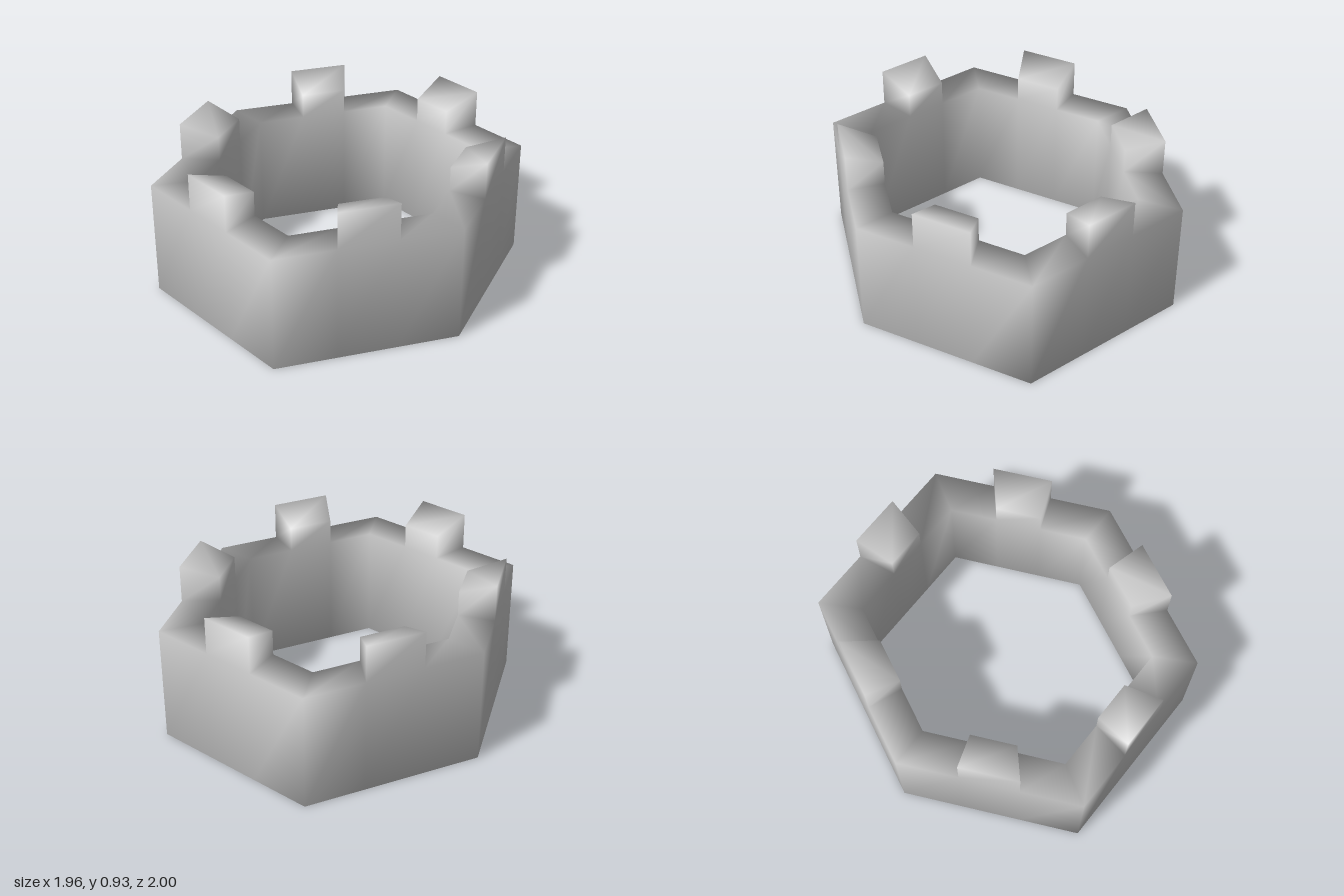
import * as THREE from 'three';

// Hexagonal crown-like wall with a merlon in the middle of each side.
export function createModel() {
  const WALL = 0.7, OUTER_TOP = 0.925, INNER_TOP = 0.85;
  const outer = [[0, 1], [0.98, 0.54], [0.98, -0.54], [0, -1], [-0.98, -0.54], [-0.98, 0.54]];
  const inner = [[0, 0.76], [0.75, 0.41], [0.75, -0.41], [0, -0.76], [-0.75, -0.41], [-0.75, 0.41]];
  const lerp = (ring, k, t) => {
    const a = ring[k], b = ring[(k + 1) % 6];
    return [a[0] + (b[0] - a[0]) * t, a[1] + (b[1] - a[1]) * t];
  };

  // Six points per station: outer and inner, each at base, wall top and merlon top
  const pos = [];
  for (let k = 0; k < 6; k++) {
    const start = k % 3 === 1 ? 0.35 : 0.337;
    for (const t of [0, start, 1 - start]) {
      const o = lerp(outer, k, t), n = lerp(inner, k, t);
      for (const y of [0, WALL, OUTER_TOP]) pos.push(o[0], y, o[1]);
      for (const y of [0, WALL, INNER_TOP]) pos.push(n[0], y, n[1]);
    }
  }
  const wall = [], merlons = [];
  const quad = (list, a, b, c, d) => list.push(a, b, c, a, c, d);
  for (let i = 0; i < 18; i++) {
    const a = i * 6, b = ((i + 1) % 18) * 6;
    quad(wall, a, b, b + 1, a + 1);              // outer face
    quad(wall, b + 3, a + 3, a + 4, b + 4);      // inner face
    quad(wall, a + 3, b + 3, b, a);              // underside
    if (i % 3 !== 1) {
      quad(wall, a + 1, b + 1, b + 4, a + 4);    // walkway
      continue;
    }
    quad(merlons, a + 1, b + 1, b + 2, a + 2);   // outer face
    quad(merlons, b + 4, a + 4, a + 5, b + 5);   // inner face
    quad(merlons, a + 2, b + 2, b + 5, a + 5);   // sloping top
    quad(merlons, a + 4, a + 1, a + 2, a + 5);   // ends
    quad(merlons, b + 1, b + 4, b + 5, b + 2);
  }

  // Normals are smoothed across wall and merlons together
  const whole = new THREE.BufferGeometry();
  whole.setAttribute('position', new THREE.Float32BufferAttribute(pos, 3));
  whole.setIndex([...wall, ...merlons]);
  whole.computeVertexNormals();

  const stone = new THREE.MeshStandardMaterial({ color: 0xcccccc });
  stone.name = 'light grey';
  const group = new THREE.Group();
  group.name = 'battlement';
  for (const [name, index] of [['wall', wall], ['merlons', merlons]]) {
    const geo = new THREE.BufferGeometry();
    geo.setAttribute('position', whole.getAttribute('position'));
    geo.setAttribute('normal', whole.getAttribute('normal'));
    geo.setIndex(index);
    const mesh = new THREE.Mesh(geo, stone);
    mesh.name = name;
    group.add(mesh);
  }
  return group;
}
